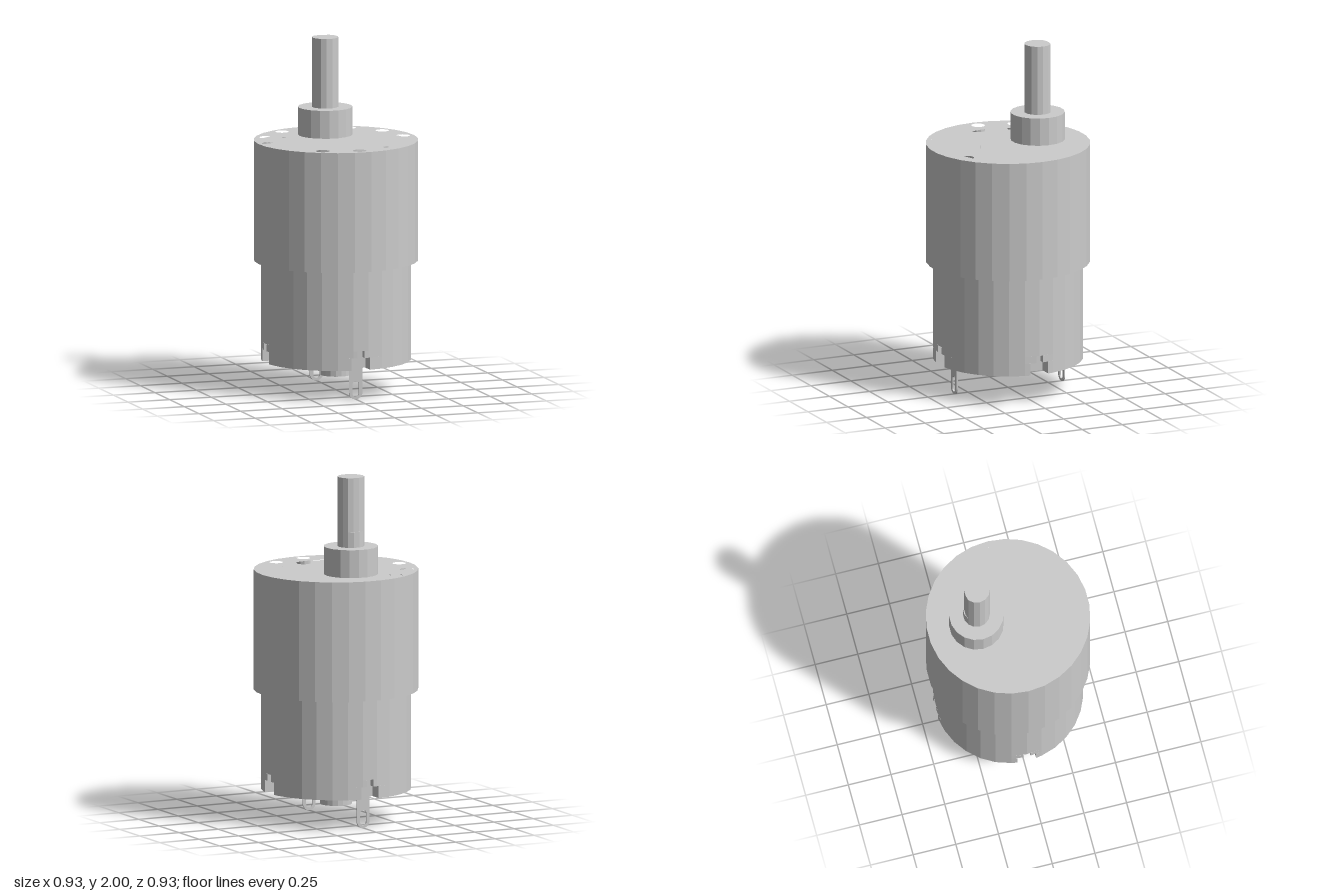
import * as THREE from 'three';

const grey = new THREE.MeshStandardMaterial({ color: 0xcccccc, flatShading: true });

// Plan points are (x, -z), so an extrusion turned upright lands on the right z.
const P = (x, z) => new THREE.Vector2(x, -z);

function circle(r, sides, cx = 0, cz = 0) {
  return Array.from({ length: sides }, (_, i) => {
    const a = (i / sides) * Math.PI * 2;
    return P(cx + r * Math.cos(a), cz + r * Math.sin(a));
  });
}

// Arc of points around the axis, angles in degrees measured from +x towards +z
function arc(r, from, to, steps) {
  return Array.from({ length: steps + 1 }, (_, i) => {
    const a = THREE.MathUtils.degToRad(from + ((to - from) * i) / steps);
    return P(r * Math.cos(a), r * Math.sin(a));
  });
}

// Disc with a square notch cut into the rim at each of the four axes
function notchedDisc(r, halfWidth, inner) {
  const pts = [];
  const half = Math.asin(halfWidth / r);
  const rim = r * Math.cos(half);
  for (let q = 0; q < 4; q++) {
    const a = (q * Math.PI) / 2;
    for (const [x, z] of [[rim, -halfWidth], [inner, -halfWidth], [inner, halfWidth], [rim, halfWidth]]) {
      pts.push(P(x * Math.cos(a) - z * Math.sin(a), x * Math.sin(a) + z * Math.cos(a)));
    }
    for (let i = 0; i < 30; i++) {
      const t = (i * Math.PI) / 15;
      if (t > a + half + 0.02 && t < a + Math.PI / 2 - half - 0.02) pts.push(P(r * Math.cos(t), r * Math.sin(t)));
    }
  }
  return pts;
}

// Upright prism from a plan outline between two heights
function prism(name, outline, y0, y1, holes = []) {
  const shape = new THREE.Shape(outline);
  shape.holes = holes.map((h) => new THREE.Path(h));
  const geo = new THREE.ExtrudeGeometry(shape, { depth: y1 - y0, bevelEnabled: false });
  geo.rotateX(-Math.PI / 2).translate(0, y0, 0);
  const mesh = new THREE.Mesh(geo, grey);
  mesh.name = name;
  return mesh;
}

function createGearbox() {
  const g = new THREE.Group();
  g.name = 'gearbox';
  const rim = circle(0.467, 30);

  // Mounting holes on a 30 degree pitch
  const screwHoles = [-60, -30, 0, 60, 90, 120, 180, 210, 240].map((deg) => {
    const a = THREE.MathUtils.degToRad(deg);
    return circle(0.04, 10, 0.403 * Math.cos(a), 0.403 * Math.sin(a));
  });

  // Crescent recess: outer arc, then back along a flatter inner curve
  const crescent = [
    ...arc(0.312, 36, 216, 14),
    P(-0.24, -0.09), P(-0.205, 0.01), P(-0.16, 0.068), P(-0.09, 0.13),
    P(-0.01, 0.17), P(0.07, 0.191), P(0.16, 0.197),
  ];

  g.add(
    prism('gearboxBody', rim, 0.75, 1.34),
    prism('gearboxHolePlate', rim, 1.34, 1.41, screwHoles),
    prism('gearboxTopPlate', rim, 1.41, 1.44, [...screwHoles, crescent]),
  );
  return g;
}

function createOutput() {
  const g = new THREE.Group();
  g.name = 'outputShaft';
  // Shaft sits off centre, with a flat on its rear side
  const round = circle(0.076, 14);
  const flat = round.map((p) => new THREE.Vector2(p.x, Math.min(p.y, 0.068)));
  g.add(
    prism('shaftBoss', circle(0.155, 18), 1.44, 1.6),
    prism('shaftBase', round, 1.6, 1.69),
    prism('shaftWithFlat', flat, 1.69, 2),
  );
  g.position.z = -0.185;
  return g;
}

function createMotor() {
  const g = new THREE.Group();
  g.name = 'motor';
  const r = 0.427;

  // Openings in the end cap: curved vents, a rectangular window and a round hole
  const openings = [0, 90, 180, 270].map((d) => [
    ...arc(0.175, d - 28, d + 28, 7),
    ...arc(0.135, d + 28, d - 28, 7),
  ]);
  openings.push(
    [P(0.235, -0.08), P(0.305, -0.08), P(0.305, 0.08), P(0.235, 0.08)],
    circle(0.04, 10, -0.27, 0),
  );

  const capOutline = notchedDisc(r, 0.055, 0.345);
  g.add(
    prism('endCapFace', capOutline, 0.18, 0.205, openings),
    prism('endCap', capOutline, 0.205, 0.25),
    prism('keyedRim', notchedDisc(r, 0.021, 0.39), 0.25, 0.29),
    prism('motorCan', circle(r, 30), 0.29, 0.75),
  );

  // Rear bearing hub with a recessed shaft end
  const profile = [[0.09, 0.18], [0.09, 0.09], [0.05, 0.09], [0.05, 0.105], [0.03, 0.105], [0.03, 0.095], [0, 0.095]];
  const hub = new THREE.Mesh(
    new THREE.LatheGeometry(profile.map(([x, y]) => new THREE.Vector2(x, y)).reverse(), 18), grey);
  hub.name = 'bearingHub';
  g.add(hub);
  return g;
}

// Thin solder tab with a rounded end and an oval eye
function createTerminal(z) {
  const shape = new THREE.Shape();
  shape.moveTo(0.04, 0.2);
  shape.lineTo(-0.04, 0.2);
  shape.lineTo(-0.04, 0.04);
  shape.absarc(0, 0.04, 0.04, Math.PI, Math.PI * 2, false);
  const eye = new THREE.Path();
  eye.absarc(0, 0.035, 0.02, Math.PI, Math.PI * 2, false);
  eye.absarc(0, 0.085, 0.02, 0, Math.PI, false);
  shape.holes.push(eye);
  const geo = new THREE.ExtrudeGeometry(shape, { depth: 0.008, bevelEnabled: false, curveSegments: 6 });
  geo.translate(0, 0, z - 0.004);
  const mesh = new THREE.Mesh(geo, grey);
  mesh.name = z > 0 ? 'frontTerminal' : 'backTerminal';
  return mesh;
}

export function createModel() {
  const model = new THREE.Group();
  model.name = 'gearMotor';
  model.add(createGearbox(), createOutput(), createMotor(), createTerminal(0.335), createTerminal(-0.335));
  return model;
}
